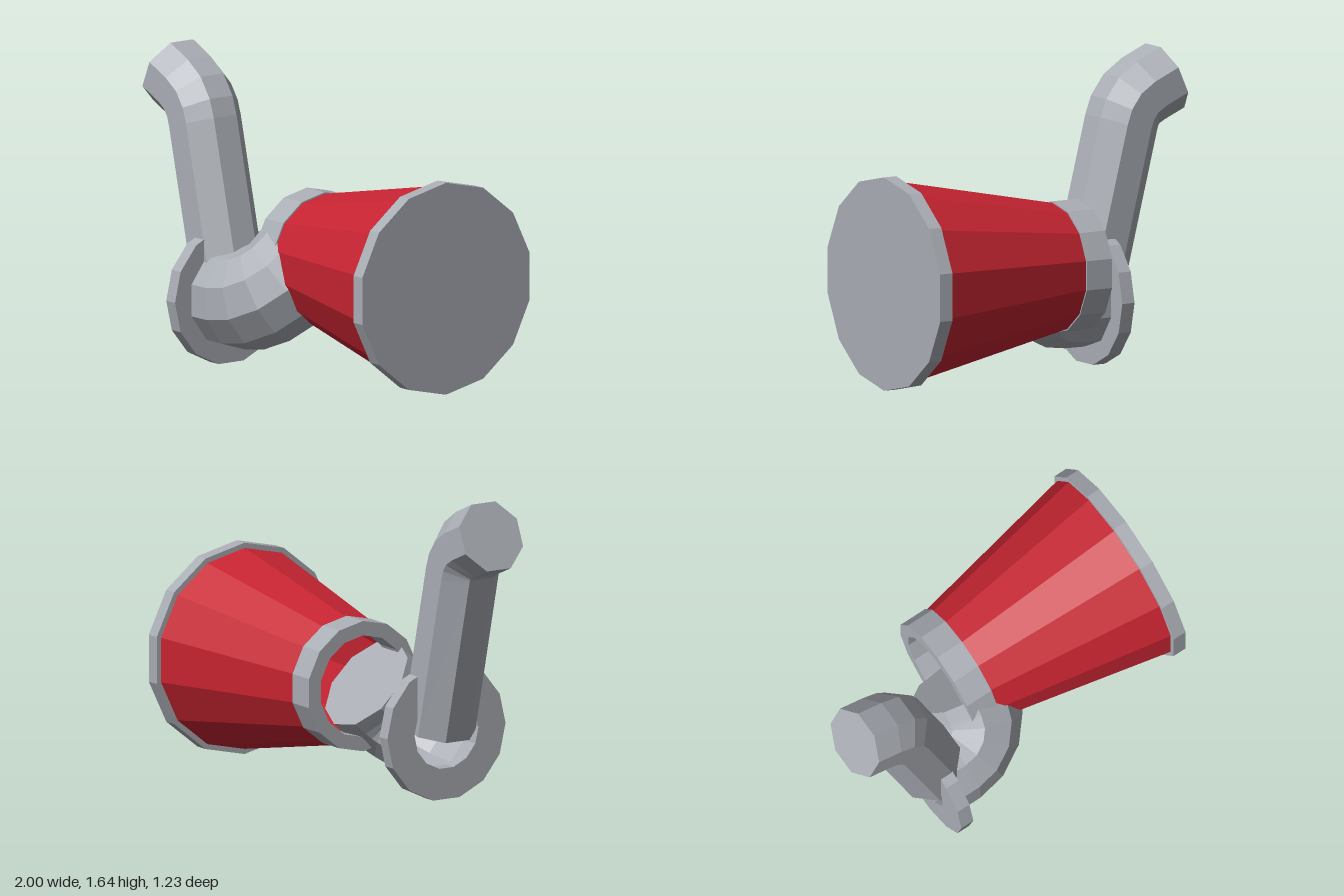
import * as THREE from 'three';

const grey = new THREE.MeshStandardMaterial({ color: 0xa9adb4, flatShading: true, side: THREE.DoubleSide });
grey.name = 'metal grey';
const red = new THREE.MeshStandardMaterial({ color: 0xc62431, flatShading: true, side: THREE.DoubleSide });
red.name = 'shade red';

const V = (x, y, z) => new THREE.Vector3(x, y, z);

function part(name, geometry, material) {
  const flat = geometry.index ? geometry.toNonIndexed() : geometry;
  flat.computeVertexNormals();
  const mesh = new THREE.Mesh(flat, material);
  mesh.name = name;
  return mesh;
}

// 14-sided turned part along +x; profile holds [radius, x] pairs
function turned(name, profile, y, z, phase, material) {
  const geometry = new THREE.LatheGeometry(profile.map(p => new THREE.Vector2(...p)), 14, phase);
  geometry.rotateZ(-Math.PI / 2);
  geometry.translate(0, y, z);
  return part(name, geometry, material);
}

const ring = (inner, outer, x0, x1) => [[inner, x0], [outer, x0], [outer, x1], [inner, x1], [inner, x0]];

// Polygonal pipe along a path lying in the plane with normal n
function pipe(name, path, n, radius, sides, phase, capStart) {
  const dir = (a, b) => b.clone().sub(a).normalize();
  const rings = path.map((p, i) => {
    const t = V(0, 0, 0);
    if (i > 0) t.add(dir(path[i - 1], p));
    if (i < path.length - 1) t.add(dir(p, path[i + 1]));
    const b = n.clone().cross(t.normalize());
    return Array.from({ length: sides }, (_, k) => {
      const a = phase + (k / sides) * Math.PI * 2;
      return p.clone().addScaledVector(n, radius * Math.cos(a)).addScaledVector(b, radius * Math.sin(a));
    });
  });
  const tris = [];
  const last = rings.length - 1;
  for (let k = 0; k < sides; k++) {
    const m = (k + 1) % sides;
    for (let i = 0; i < last; i++) {
      const [A, B, C, D] = [rings[i][k], rings[i][m], rings[i + 1][k], rings[i + 1][m]];
      tris.push(A, C, B, B, C, D);
    }
    if (capStart) tris.push(path[0], rings[0][k], rings[0][m]);
    tris.push(path[last], rings[last][m], rings[last][k]);
  }
  return part(name, new THREE.BufferGeometry().setFromPoints(tris), grey);
}

export function createModel() {
  const model = new THREE.Group();
  model.name = 'wallLamp';

  // Shade: back collar, flared cone and front disc on one axis
  const sy = 0.583, sz = -0.066, up = Math.PI / 2;
  model.add(
    turned('shadeCollar', ring(0.27, 0.347, -0.19, -0.035), sy, sz, up, grey),
    turned('shadeCone', [[0.339, -0.036], [0.535, 0.926]], sy, sz, up, red),
    turned('shadeFrontDisc', [[0, 0.925], [0.5625, 0.925], [0.5625, 1], [0, 1]], sy, sz, up, grey),
  );

  // Mounting flange
  const fy = 0.362, fz = 0.245;
  model.add(turned('flange', ring(0.2, 0.369, -0.505, -0.43), fy, fz, 0, grey));

  // Elbow: leaves the flange along +x, then turns up and back
  const tilt = THREE.MathUtils.degToRad(42), bend = 0.22, startX = -0.33;
  const at = (x, d) => V(x, fy + d * Math.sin(tilt), fz - d * Math.cos(tilt));
  const elbowPath = [at(-0.43, 0)];
  for (let i = 0; i <= 4; i++) {
    const a = (i * Math.PI) / 8;
    elbowPath.push(at(startX + bend * Math.sin(a), bend * (1 - Math.cos(a))));
  }
  elbowPath.push(at(startX + bend, 0.32));
  model.add(pipe('elbow', elbowPath, V(0, Math.cos(tilt), Math.sin(tilt)), 0.274, 10, tilt, false));

  // Arm: slanted octagonal pipe with a bent top end
  const armPath = [[-0.435, 0.37], [-0.655, 1.248], [-0.677, 1.312], [-0.719, 1.37], [-0.79, 1.416], [-0.925, 1.475]]
    .map(([x, y]) => V(x, y, fz));
  model.add(pipe('arm', armPath, V(0, 0, 1), 0.195, 8, Math.PI / 8, true));

  return model;
}
